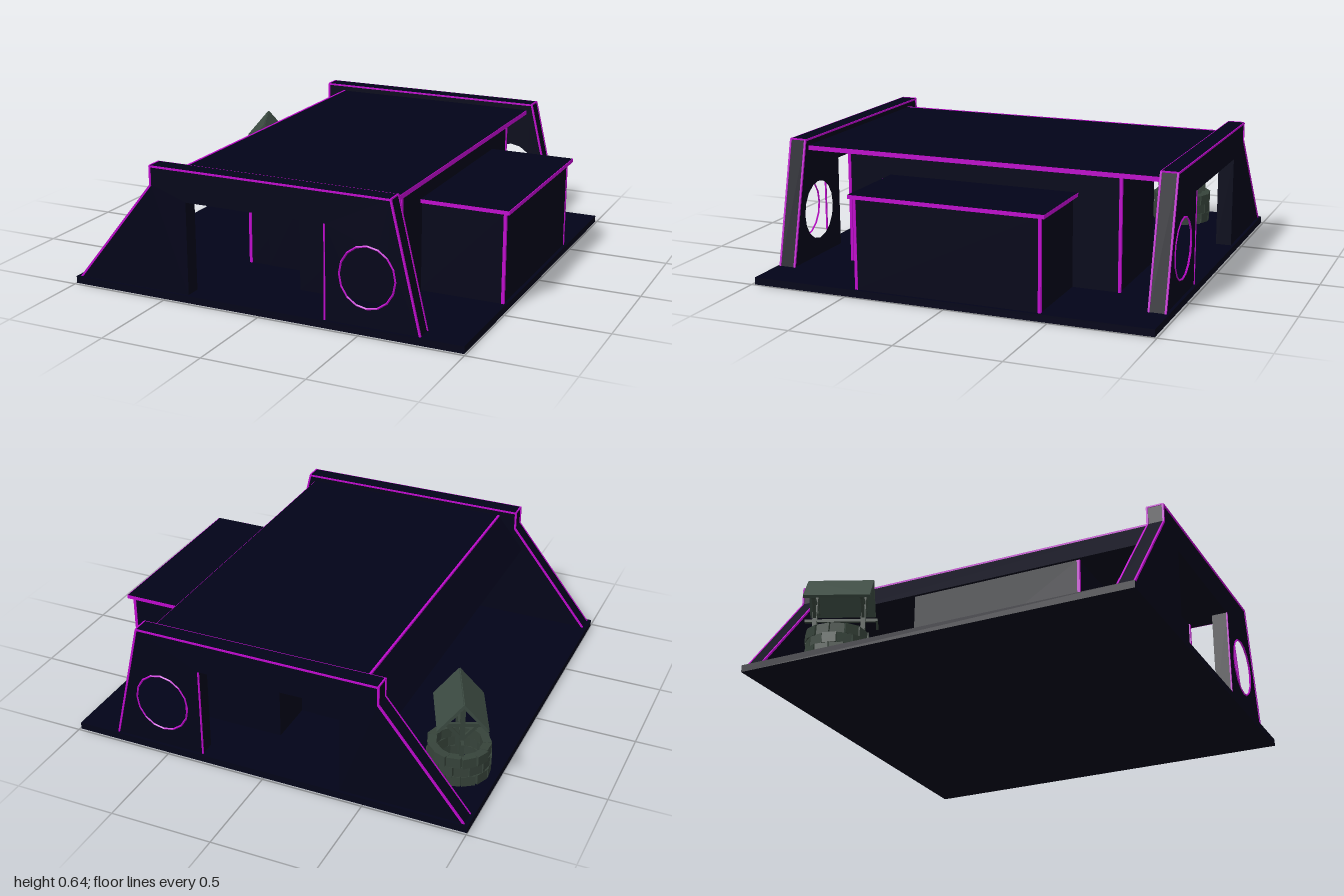
import * as THREE from 'three';

const mat = (name, color) => new THREE.MeshStandardMaterial({ name, color, flatShading: true });

export function createModel() {
  const navy = mat('dark navy', 0x020318);
  const neon = mat('neon purple', 0xbe08cc);
  const shingle = mat('green grey roof', 0x3c4b42);
  const stone = mat('green grey stone', 0x36433a);
  const root = new THREE.Group();
  root.name = 'futuristicHouse';

  const add = (parent, name, geo, m) => {
    const mesh = new THREE.Mesh(geo, m);
    mesh.name = name;
    parent.add(mesh);
    return mesh;
  };
  // box given by its minimum and maximum on each axis
  const box = (parent, name, x0, x1, y0, y1, z0, z1, m) => {
    const mesh = add(parent, name, new THREE.BoxGeometry(x1 - x0, y1 - y0, z1 - z0), m);
    mesh.position.set((x0 + x1) / 2, (y0 + y1) / 2, (z0 + z1) / 2);
    return mesh;
  };
  // square bar between two points
  const up = new THREE.Vector3(0, 1, 0);
  const bar = (parent, name, a, b, size, m) => {
    const p = new THREE.Vector3(...a), q = new THREE.Vector3(...b);
    const mesh = add(parent, name, new THREE.BoxGeometry(size, size, p.distanceTo(q) + size * 0.5), m);
    mesh.position.copy(p).add(q).multiplyScalar(0.5);
    mesh.quaternion.setFromRotationMatrix(new THREE.Matrix4().lookAt(q, p, up));
    return mesh;
  };
  // upright corner strip
  const post = (name, x, z, top) => box(root, name, x - 0.007, x + 0.007, 0.035, top, z - 0.007, z + 0.007, neon);

  box(root, 'basePlate', -1, 0.993, 0, 0.035, -0.988, 0.985, navy);

  // Sloping side walls with a doorway notch and a round window
  const slope = [[-0.98, 0.035], [-0.565, 0.55], [-0.565, 0.64], [0.64, 0.64], [0.785, 0.035]];
  const outline = [...slope, [0.325, 0.035], [0.325, 0.485], [-0.38, 0.485], [-0.38, 0.035]];
  const wallShape = new THREE.Shape(outline.map(([x, y]) => new THREE.Vector2(x, y)));
  const windowHole = new THREE.Path();
  windowHole.absellipse(0.53, 0.265, 0.135, 0.145, 0, Math.PI * 2, true);
  wallShape.holes.push(windowHole);
  const wallGeo = new THREE.ExtrudeGeometry(wallShape, { depth: 0.078, bevelEnabled: false, curveSegments: 8 });

  for (const side of [1, -1]) {
    const wall = new THREE.Group();
    wall.name = side > 0 ? 'frontWall' : 'backWall';
    root.add(wall);
    const z0 = side > 0 ? 0.893 : -0.973;
    const z1 = z0 + 0.078;
    const outer = side > 0 ? z1 : z0;
    add(wall, 'wallPanel', wallGeo, navy).position.z = z0;
    // glowing edges just below the rim on both faces of the wall
    for (const z of [z0, z1]) {
      for (let i = 0; i < slope.length - 1; i++) {
        const [ax, ay] = slope[i], [bx, by] = slope[i + 1];
        bar(wall, 'edgeStrip', [ax, ay - 0.005, z], [bx, by - 0.005, z], 0.009, neon);
      }
    }
    bar(wall, 'doorwayStrip', [0.325, 0.037, outer], [0.325, 0.483, outer], 0.007, neon);
    const ring = add(wall, 'windowRing', new THREE.TorusGeometry(0.14, 0.005, 4, 16), neon);
    ring.scale.set(0.135 / 0.14, 0.145 / 0.14, 1);
    ring.position.set(0.53, 0.265, outer);
    // strips across the thickness at the ends of the flat top
    for (const x of [-0.565, 0.64]) bar(wall, 'crossStrip', [x, 0.638, z0], [x, 0.638, z1], 0.007, neon);
  }

  // Main body: a narrow front room meeting a wider hall
  box(root, 'narrowRoom', -0.34, 0.07, 0.035, 0.585, -0.452, 0.452, navy);
  box(root, 'wideHall', 0.058, 0.57, 0.035, 0.585, -0.69, 0.69, navy);
  post('roomCorner', -0.336, 0.45, 0.585);
  post('innerCorner', 0.051, 0.455, 0.585);
  for (const s of [1, -1]) {
    post('hallCorner', 0.568, s * 0.69, 0.585);
    box(root, 'door', -0.23, -0.02, 0.035, 0.46, s * 0.452 - 0.004, s * 0.452 + 0.004, navy);
  }

  // Flat main roof and its slanted canopy
  box(root, 'mainRoof', -0.47, 0.61, 0.583, 0.606, -0.893, 0.893, navy);
  box(root, 'roofEdgeRight', 0.608, 0.613, 0.583, 0.605, -0.893, 0.893, neon);
  box(root, 'roofEdgeLeft', -0.475, -0.465, 0.598, 0.608, -0.893, 0.893, neon);
  const canopyShape = new THREE.Shape([[-0.47, 0.605], [-0.61, 0.43], [-0.595, 0.43], [-0.455, 0.59]]
    .map(([x, y]) => new THREE.Vector2(x, y)));
  add(root, 'canopy', new THREE.ExtrudeGeometry(canopyShape, { depth: 1.786, bevelEnabled: false }), navy)
    .position.z = -0.893;

  // Side annex
  box(root, 'annexBody', 0.56, 0.978, 0.035, 0.472, -0.46, 0.452, navy);
  box(root, 'annexRoof', 0.56, 0.996, 0.47, 0.488, -0.483, 0.47, navy);
  box(root, 'annexRoofEdge', 0.995, 1, 0.469, 0.487, -0.485, 0.472, neon);
  for (const z of [-0.483, 0.47]) {
    box(root, 'annexRoofSideEdge', 0.57, 0.999, 0.469, 0.487, z - 0.002, z + 0.002, neon);
  }
  for (const z of [-0.456, 0.448]) post('annexCorner', 0.974, z, 0.47);

  // Stone well with a gabled roof
  const well = new THREE.Group();
  well.name = 'well';
  well.position.set(-0.81, 0.035, -0.588);
  well.rotation.y = 0.42;
  root.add(well);
  let seed = 7;
  const rand = () => (seed = (seed * 16807) % 2147483647) / 2147483647;
  const rows = 3, count = 13;
  for (let r = 0; r < rows; r++) {
    for (let i = 0; i < count; i++) {
      const a = ((i + r * 0.5) / count) * Math.PI * 2;
      const block = add(well, 'wellStone', new THREE.BoxGeometry(0.066, 0.051, 0.04), stone);
      const radius = 0.124 + rand() * 0.008;
      block.position.set(Math.sin(a) * radius, 0.026 + r * 0.05, Math.cos(a) * radius);
      block.rotation.set(0, a + (rand() - 0.5) * 0.15, (rand() - 0.5) * 0.1);
    }
  }
  for (const s of [1, -1]) {
    box(well, 'wellPost', -0.011, 0.011, 0.0, 0.42, s * 0.115 - 0.011, s * 0.115 + 0.011, stone);
    bar(well, 'roofTie', [-0.09, 0.318, s * 0.115], [0.09, 0.318, s * 0.115], 0.016, stone);
    for (const t of [1, -1]) {
      bar(well, 'roofBrace', [0, 0.24, s * 0.115], [t * 0.07, 0.318, s * 0.115], 0.014, stone);
      bar(well, 'rafter', [0, 0.42, s * 0.115], [t * 0.095, 0.312, s * 0.115], 0.016, stone);
    }
    // roof slope, one on each side of the ridge
    const slab = add(well, 'wellRoof', new THREE.BoxGeometry(0.178, 0.014, 0.316), shingle);
    slab.position.set(s * 0.055, 0.373, 0);
    slab.rotation.z = -s * Math.atan2(0.135, 0.114);
  }
  bar(well, 'wellAxle', [0, 0.23, -0.16], [0, 0.23, 0.18], 0.014, stone);
  bar(well, 'wellHandle', [0, 0.23, 0.18], [0.03, 0.2, 0.18], 0.01, stone);

  return root;
}
